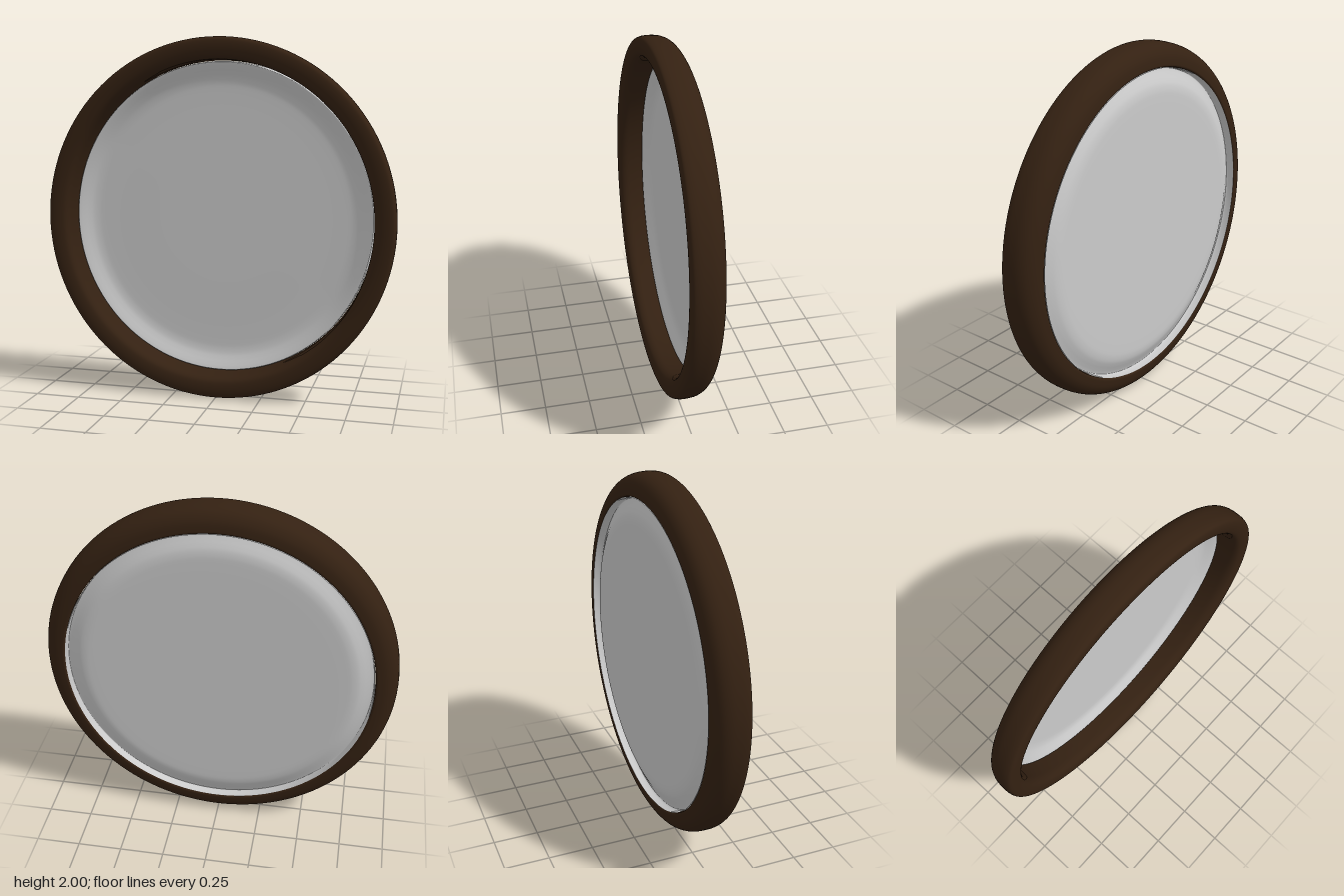
import * as THREE from 'three';

// Sweeps a smooth profile of [radius, depth] points around the z axis
function turned(name, points, closed, samples, material) {
  const curve = new THREE.CatmullRomCurve3(
    points.map(([r, z]) => new THREE.Vector3(r, z, 0)), closed, 'centripetal');
  const profile = curve.getPoints(samples).map(p => new THREE.Vector2(Math.max(p.x, 0), p.y));
  const geometry = new THREE.LatheGeometry(profile, 128);
  geometry.rotateX(Math.PI / 2);
  const mesh = new THREE.Mesh(geometry, material);
  mesh.name = name;
  return mesh;
}

export function createModel() {
  const group = new THREE.Group();
  group.name = 'roundMirror';

  const wood = new THREE.MeshStandardMaterial({ color: 0x342112 });
  const glass = new THREE.MeshStandardMaterial({ color: 0xcccccc, side: THREE.DoubleSide });

  // Ring frame: tight front edge, broad rounded back edge, soft inner lip
  const frame = turned('frame', [
    [0.9, -0.094], [0.94, -0.085], [0.975, -0.06], [0.994, -0.025], [1, 0.02],
    [0.998, 0.06], [0.988, 0.083], [0.965, 0.091], [0.925, 0.09], [0.898, 0.08],
    [0.882, 0.055], [0.878, 0.01], [0.878, -0.05], [0.876, -0.085], [0.882, -0.094],
  ], true, 70, wood);

  // Dished pane: rim wall, crest, then a curve back to the flat centre
  const pane = turned('pane', [
    [0.874, -0.093], [0.873, -0.07], [0.87, -0.053], [0.866, -0.048], [0.855, -0.051],
    [0.835, -0.06], [0.81, -0.072], [0.785, -0.082], [0.755, -0.088], [0.72, -0.09],
    [0.4, -0.09], [0, -0.09],
  ], false, 60, glass);

  // Slightly oval outline with a very slight backward lean
  const body = new THREE.Group();
  body.name = 'mirrorBody';
  body.add(frame, pane);
  body.scale.x = 0.98;
  body.rotation.x = -0.005;
  body.position.y = 1;
  group.add(body);
  return group;
}
